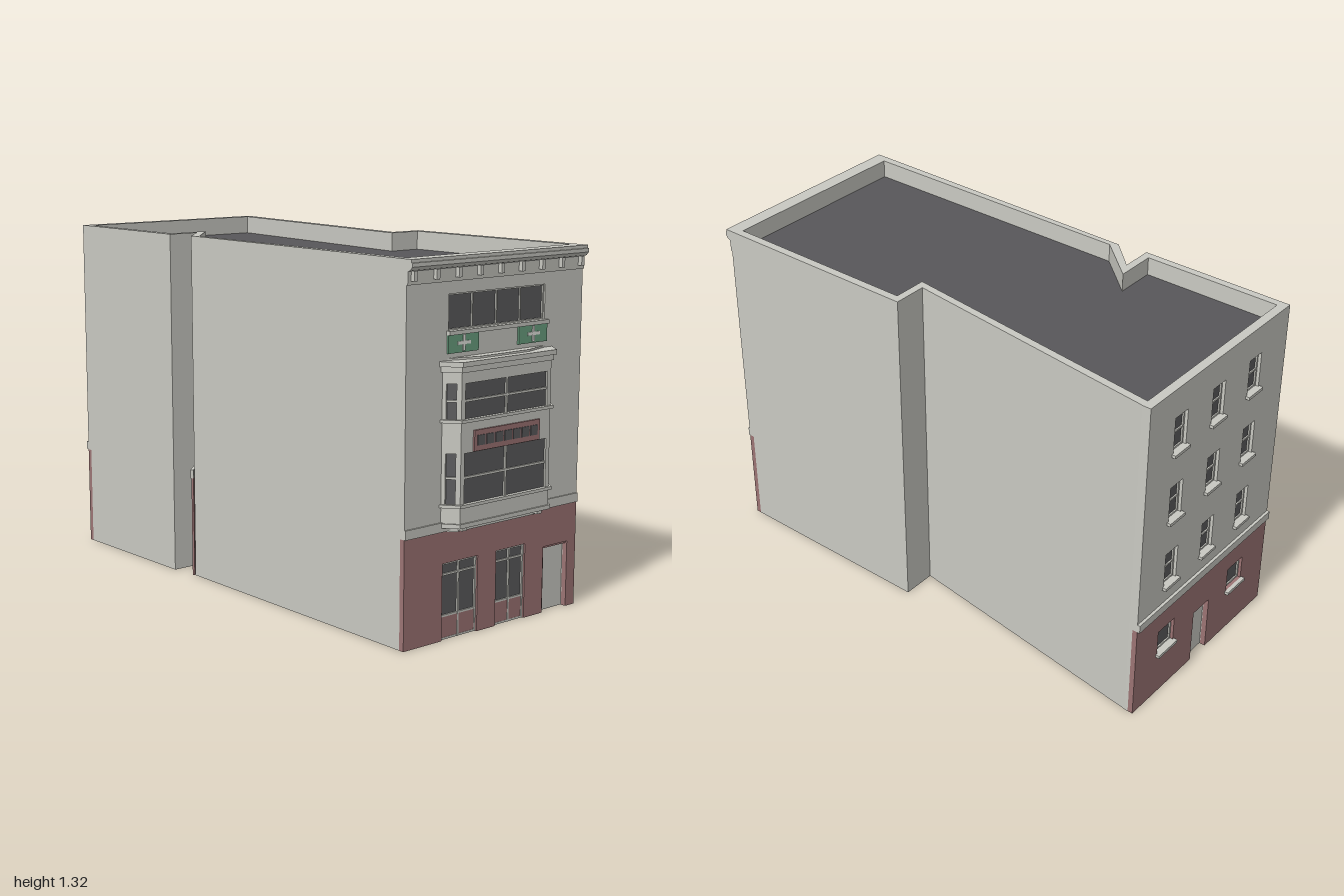
import * as THREE from 'three';

const mat = (name, color) => {
  const m = new THREE.MeshStandardMaterial({ color });
  m.name = name;
  return m;
};

export function createModel() {
  const stone = mat('pale stone', 0xc9c9c2);
  const red = mat('dusty red', 0x9c7474);
  const dark = mat('dark glass', 0x5b5b5d);
  const roofMat = mat('roof grey', 0x58575a);
  const green = mat('sign green', 0x6a9f80);
  const white = mat('cross white', 0xe4e6e0);

  const root = new THREE.Group();
  root.name = 'townBuilding';
  const group = (name, parent = root) => {
    const g = new THREE.Group();
    g.name = name;
    parent.add(g);
    return g;
  };
  const mesh = (parent, name, geo, material) => {
    const m = new THREE.Mesh(geo, material);
    m.name = name;
    parent.add(m);
    return m;
  };
  // Box given by its limits
  const box = (parent, name, x0, x1, y0, y1, z0, z1, material) =>
    mesh(parent, name, new THREE.BoxGeometry(x1 - x0, y1 - y0, z1 - z0)
      .translate((x0 + x1) / 2, (y0 + y1) / 2, (z0 + z1) / 2), material);
  // Upright prism on a floor plan of [x, z] points
  const prism = (parent, name, plan, y0, y1, material) => {
    const shape = new THREE.Shape(plan.map(([x, z]) => new THREE.Vector2(x, -z)));
    const geo = new THREE.ExtrudeGeometry(shape, { depth: y1 - y0, bevelEnabled: false });
    return mesh(parent, name, geo.rotateX(-Math.PI / 2).translate(0, y0, 0), material);
  };
  // Wall sheet with door notches [x0, x1, top] and window holes [x0, x1, y0, y1]
  const sheet = (parent, name, x0, x1, y0, y1, notches, holes, z0, z1, material) => {
    const pts = [[x0, y0]];
    for (const [a, b, t] of notches) pts.push([a, y0], [a, t], [b, t], [b, y0]);
    pts.push([x1, y0], [x1, y1], [x0, y1]);
    const shape = new THREE.Shape(pts.map((p) => new THREE.Vector2(...p)));
    for (const [a, b, c, d] of holes)
      shape.holes.push(new THREE.Path([[a, c], [a, d], [b, d], [b, c]].map((p) => new THREE.Vector2(...p))));
    const geo = new THREE.ExtrudeGeometry(shape, { depth: z1 - z0, bevelEnabled: false });
    return mesh(parent, name, geo.translate(0, 0, z0), material);
  };
  // Glass with a frame, mullions at xs and transoms at ys
  const addWindow = (parent, name, [x0, x1, y0, y1], z, xs, ys, t = 0.007) => {
    const g = group(name, parent);
    box(g, 'glass', x0, x1, y0, y1, z - 0.006, z, dark);
    for (const x of [x0 + t / 2, x1 - t / 2, ...xs])
      box(g, 'frameUpright', x - t / 2, x + t / 2, y0, y1, z - 0.004, z + 0.006, stone);
    for (const y of [y0 + t / 2, y1 - t / 2, ...ys])
      box(g, 'frameRail', x0, x1, y - t / 2, y + t / 2, z - 0.004, z + 0.005, stone);
    return g;
  };

  const H = 1.315, L = -0.43, R = 0.422, BASE = 0.385;

  // Side walls and roof deck
  const rightInner = [[0.387, -0.95], [0.257, 0.12], [0.39, 0.12], [0.39, 0.9]];
  const leftInner = [[-0.398, 0.9], [-0.393, -0.235], [-0.24, -0.405], [-0.4, -0.405], [-0.4, -0.95]];
  prism(root, 'rightWall', [[R, 0.9], [R, 0.09], [0.29, 0.09], [0.418, -0.95], ...rightInner], 0, H, stone);
  prism(root, 'leftWall', [[L, -0.95], [L, -0.375], [-0.305, -0.375], [-0.415, -0.26], [L, 0.9], ...leftInner], 0, H, stone);
  prism(root, 'roofDeck', [...rightInner, ...leftInner], 1.225, 1.245, roofMat);

  // Front wall
  const front = group('frontFacade');
  const F = 0.935, topWin = [-0.238, 0.228, 1.066, 1.188];
  const shops = [[-0.252, -0.082, 0, 0.272], [0.009, 0.155, 0, 0.272]];
  const notches = [...shops.map((s) => [s[0], s[1], s[3]]), [0.25, 0.377, 0.244]];
  sheet(front, 'upperWall', L, R, BASE, H, [], [topWin], 0.9, F, stone);
  sheet(front, 'baseLining', L, R, 0, BASE, notches, [], 0.9, 0.915, stone);
  sheet(front, 'redBase', L, R, 0, BASE, notches, [], 0.915, F, red);
  box(front, 'baseLedge', L, R, BASE, 0.418, F, F + 0.006, stone);
  for (const s of shops) {
    const mid = (s[0] + s[1]) / 2;
    const w = addWindow(front, 'shopWindow', s, 0.922, [mid], [0.23, 0.084]);
    box(w, 'redPanel', s[0] + 0.006, s[1] - 0.006, 0.003, 0.082, 0.918, 0.926, red);
  }
  box(front, 'frontDoor', 0.25, 0.377, 0, 0.244, 0.903, 0.912, stone);
  box(front, 'doorFrame', 0.25, 0.257, 0, 0.244, 0.912, 0.93, red);
  box(front, 'doorFrame', 0.25, 0.377, 0.237, 0.244, 0.912, 0.93, red);
  addWindow(front, 'topWindow', topWin, 0.923, [-0.121, -0.005, 0.111], [], 0.005);
  box(front, 'topWindowSill', -0.247, 0.237, 1.052, 1.066, F, 0.95, stone);

  // Green signs with crosses
  for (const x of [-0.174, 0.164]) {
    const g = group('greenSign', front);
    box(g, 'signPlate', x - 0.071, x + 0.071, 0.99, 1.053, F, 0.943, green);
    box(g, 'crossBar', x - 0.03, x + 0.03, 1.017, 1.028, 0.943, 0.946, white);
    box(g, 'crossPost', x - 0.0055, x + 0.0055, 0.995, 1.05, 0.943, 0.9465, white);
  }

  // Cornice profile swept along the front, with brackets
  const profile = [[0.934, 1.23], [0.94, 1.23], [0.942, 1.275], [0.952, 1.279],
    [0.961, 1.29], [0.961, 1.303], [0.957, 1.304], [0.957, H], [0.934, H]];
  const corniceGeo = new THREE.ExtrudeGeometry(
    new THREE.Shape(profile.map((p) => new THREE.Vector2(...p))), { depth: R - L, bevelEnabled: false });
  mesh(front, 'cornice', corniceGeo.rotateY(-Math.PI / 2).translate(R, 0, 0), stone);
  for (let i = 0; i < 9; i++) {
    const x = -0.409 + i * 0.1008;
    box(front, 'corniceBracket', x - 0.007, x + 0.007, 1.243, 1.277, F, 0.957, stone);
  }

  // Bay window: dark core wrapped by bands, sills and posts
  const bay = group('bayWindow', front);
  bay.position.x = -0.004;
  const baySlab = (name, y0, y1, g, material = stone) => prism(bay, name,
    [[-0.26 - g, 0.934], [-0.218 - g * 0.7, 0.985 + g], [0.218 + g * 0.7, 0.985 + g], [0.26 + g, 0.934]], y0, y1, material);
  baySlab('glassCore', 0.41, 0.95, -0.007, dark);
  baySlab('foot', 0.38, 0.4, -0.03);
  baySlab('lowerMoulding', 0.4, 0.415, 0.006);
  baySlab('lowerBand', 0.41, 0.478, 0);
  baySlab('middleBand', 0.655, 0.766, 0);
  baySlab('upperBand', 0.892, 0.94, 0);
  baySlab('lowerSill', 0.47, 0.481, 0.009);
  baySlab('upperSill', 0.76, 0.771, 0.009);
  baySlab('capMoulding', 0.93, 0.95, 0.007);
  baySlab('cap', 0.95, 0.967, 0.015);
  // Shallow sloping cap roof
  prism(bay, 'capRoof', [[-0.24, 0.934], [-0.12, 0.97], [0.12, 0.97], [0.24, 0.934]], 0.966, 0.974, stone);
  for (const [y0, y1, rail] of [[0.478, 0.658, 0.571], [0.766, 0.894, 0.833]]) {
    box(bay, 'mullion', -0.004, 0.004, y0, y1, 0.975, 0.984, stone);
    box(bay, 'transom', -0.21, 0.21, rail - 0.004, rail + 0.004, 0.975, 0.984, stone);
    for (const s of [-1, 1]) {
      const corner = [[s * 0.2, 0.975], [s * 0.2, 0.985], [s * 0.218, 0.985], [s * 0.229, 0.972], [s * 0.218, 0.968]];
      prism(bay, 'cornerPost', corner, y0, y1, stone);
      prism(bay, 'wallPost', [[s * 0.24, 0.934], [s * 0.26, 0.934], [s * 0.251, 0.945], [s * 0.24, 0.942]], y0, y1, stone);
      prism(bay, 'sideTransom', [[s * 0.24, 0.94], [s * 0.255, 0.938], [s * 0.221, 0.979], [s * 0.21, 0.97]],
        rail - 0.004, rail + 0.004, stone);
    }
  }
  for (const s of [-1, 1]) box(bay, 'footBracket', s * 0.185 - 0.012, s * 0.185 + 0.012, 0.385, 0.402, 0.934, 0.975, stone);

  // Red panel with dark squares on the bay
  const sign = group('redPanelSign', front);
  box(sign, 'panel', -0.165, 0.155, 0.658, 0.73, 0.984, 0.992, red);
  for (let i = 0; i < 7; i++) {
    const x = -0.005 + (i - 3) * 0.043;
    box(sign, 'square', x - 0.0175, x + 0.0175, 0.677, 0.712, 0.992, 0.995, dark);
  }

  // Back wall, built facing +z and turned round
  const back = group('backFacade');
  back.rotation.y = Math.PI;
  const B = 0.985, cols = [-0.23, -0.003, 0.225];
  const sashes = [0.492, 0.777, 1.06].flatMap((y) => cols.map((x) => [x - 0.037, x + 0.037, y, y + 0.14]));
  const lows = [cols[0], cols[2]].map((x) => [x - 0.05, x + 0.05, 0.19, 0.29]);
  const backDoor = [[-0.047, 0.053, 0.225]];
  sheet(back, 'upperWall', -0.419, 0.43, BASE, H, [], sashes, 0.95, B, stone);
  sheet(back, 'baseLining', -0.419, 0.43, 0, BASE, backDoor, lows, 0.95, 0.965, stone);
  sheet(back, 'redBase', -0.419, 0.43, 0, BASE, backDoor, lows, 0.965, B, red);
  box(back, 'baseLedge', -0.42, 0.43, BASE, 0.418, B, 0.996, stone);
  for (const w of [...sashes, ...lows]) {
    const tall = w[2] > BASE;
    addWindow(back, tall ? 'sashWindow' : 'lowWindow', w, 0.967, [], tall ? [(w[2] + w[3]) / 2] : []);
    box(back, 'windowSill', w[0] - 0.008, w[1] + 0.008, w[2] - 0.012, w[2], 0.97, 1, stone);
  }
  box(back, 'backDoor', -0.047, 0.053, 0, 0.225, 0.953, 0.962, stone);

  // Slanted side entrance in the left recess
  const side = group('sideEntrance');
  side.position.set(-0.36, 0, -0.3175);
  side.rotation.y = -Math.PI * 0.757;
  sheet(side, 'redBase', -0.079, 0.079, 0, BASE, [[-0.04, 0.04, 0.225]], [], 0, 0.008, red);
  box(side, 'baseLedge', -0.079, 0.079, BASE, 0.418, 0, 0.012, stone);
  box(side, 'sideDoor', -0.04, 0.04, 0, 0.225, -0.002, 0.003, stone);

  return root;
}
